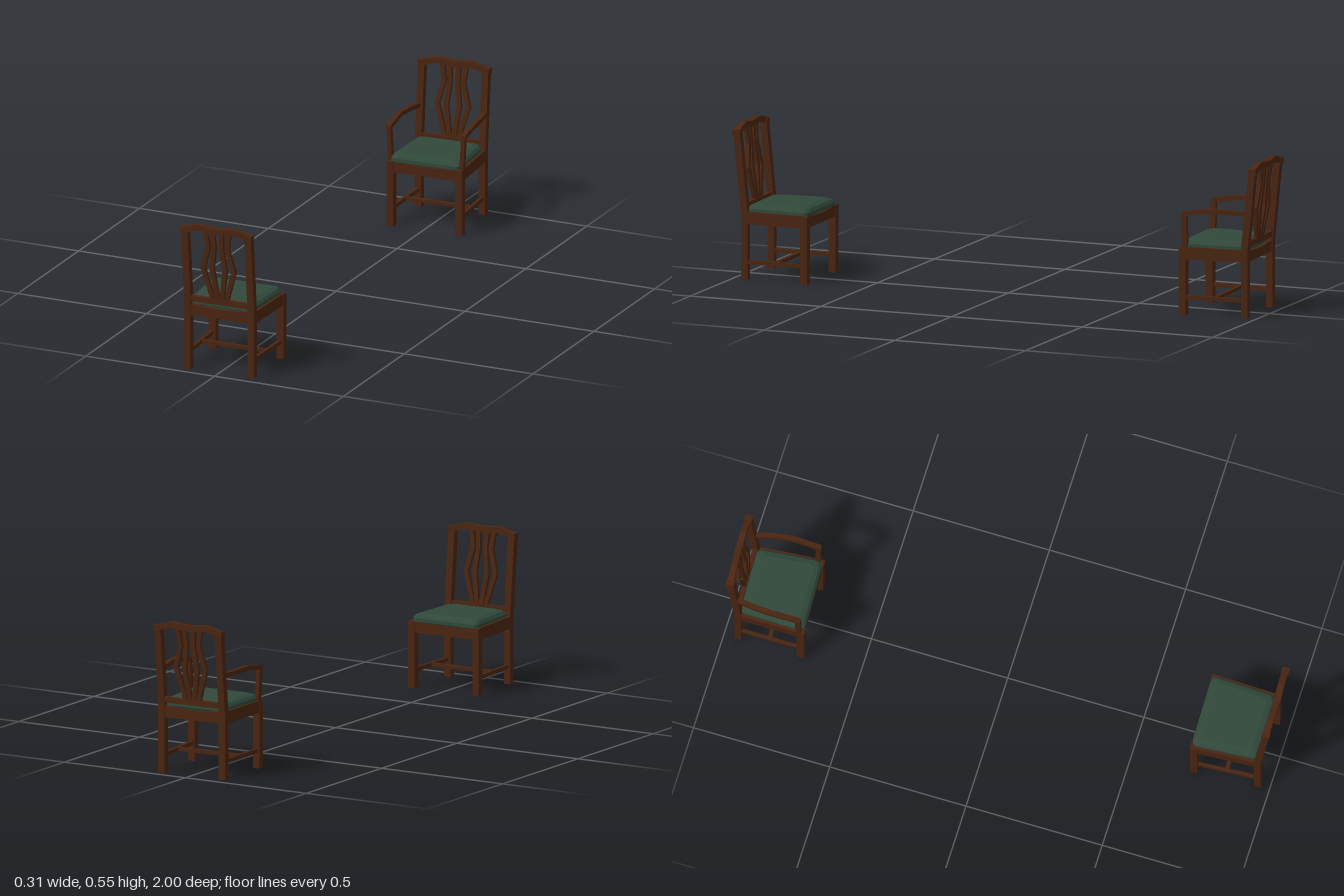
import * as THREE from 'three';

const wood = new THREE.MeshStandardMaterial({ color: 0x4a2511, flatShading: true });
wood.name = 'dark wood';
const fabric = new THREE.MeshStandardMaterial({ color: 0x30483a, flatShading: true });
fabric.name = 'green fabric';

const V = (x, y, z) => new THREE.Vector3(x, y, z);

// Joins equal-length closed loops of points into a capped solid
function loft(loops) {
  const pos = [];
  const tri = (...p) => p.forEach(q => pos.push(q.x, q.y, q.z));
  const n = loops[0].length;
  for (let i = 0; i < loops.length - 1; i++) {
    for (let j = 0; j < n; j++) {
      const k = (j + 1) % n, lo = loops[i], hi = loops[i + 1];
      tri(lo[j], lo[k], hi[k]);
      tri(lo[j], hi[k], hi[j]);
    }
  }
  const first = loops[0], last = loops[loops.length - 1];
  for (let j = 1; j < n - 1; j++) {
    tri(first[0], first[j + 1], first[j]);
    tri(last[0], last[j], last[j + 1]);
  }
  const g = new THREE.BufferGeometry();
  g.setAttribute('position', new THREE.Float32BufferAttribute(pos, 3));
  g.computeVertexNormals();
  return g;
}

function add(parent, name, geometry, material = wood) {
  const mesh = new THREE.Mesh(geometry, material);
  mesh.name = name;
  parent.add(mesh);
  return mesh;
}

// Rectangular bar along a path; a and b are the half-size vectors of its section
function bar(points, a, b) {
  const dir = points[points.length - 1].clone().sub(points[0]);
  const bb = b.clone();
  if (a.clone().cross(b).dot(dir) < 0) bb.negate();
  const corners = [[-1, -1], [1, -1], [1, 1], [-1, 1]];
  return loft(points.map(p => corners.map(([s, t]) =>
    p.clone().addScaledVector(a, s).addScaledVector(bb, t))));
}

// Depth of the back at a given height: upright to the seat, then leaning
const backZ = y => -0.099 - Math.max(0, y - 0.24) * 0.1;

// Seat rail with a dished upper edge
function dishedRail(halfWidth, z) {
  const s = new THREE.Shape();
  s.moveTo(-halfWidth, 0.2);
  s.lineTo(halfWidth, 0.2);
  s.lineTo(halfWidth, 0.241);
  s.lineTo(0.05, 0.236);
  s.lineTo(0, 0.234);
  s.lineTo(-0.05, 0.236);
  s.lineTo(-halfWidth, 0.241);
  return new THREE.ExtrudeGeometry(s, { depth: 0.014, bevelEnabled: false }).translate(0, 0, z);
}

// Rounded trapezoid outline of the cushion at one height
function cushionLoop(inset, y) {
  const r = 0.022, pts = [];
  const corners = [[1, 1], [1, -1], [-1, -1], [-1, 1]];
  corners.forEach(([sx, sz], c) => {
    const w = (sz > 0 ? 0.134 : 0.124) - inset;
    const d = sz > 0 ? 0.142 - inset : 0.096 - inset;
    for (let i = 0; i <= 3; i++) {
      const t = Math.PI / 2 - (c + i / 3) * Math.PI / 2;
      pts.push(V(sx * (w - r) + r * Math.cos(t), y, sz * (d - r) + r * Math.sin(t)));
    }
  });
  return pts;
}

function buildChair(withArms) {
  const chair = new THREE.Group();

  // Seat cushion
  const rings = [[0.014, 0.218], [0.012, 0.234], [0, 0.24], [0, 0.253], [0.008, 0.263], [0.025, 0.269]];
  add(chair, 'cushion', loft(rings.map(([i, y]) => cushionLoop(i, y))), fabric);

  // Front and back seat rails, and the low rail carrying the slats
  add(chair, 'frontSeatRail', dishedRail(0.122, 0.127));
  add(chair, 'backSeatRail', dishedRail(0.112, -0.108));
  add(chair, 'lowerBackRail', bar([V(-0.112, 0.263, -0.102), V(0.112, 0.263, -0.102)],
    V(0, 0.01, 0), V(0, 0, 0.008)));

  for (const s of [-1, 1]) {
    // Legs and posts
    add(chair, 'frontLeg', bar([V(s * 0.131, 0, 0.131), V(s * 0.131, 0.241, 0.131)],
      V(0.013, 0, 0), V(0, 0, 0.0135)));
    add(chair, 'backPost', bar([0, 0.24, 0.53].map(y => V(s * 0.122, y, backZ(y))),
      V(0.0125, 0, 0), V(0, 0, 0.0125)));

    // Side seat rail and stretcher
    add(chair, 'sideSeatRail', bar([V(s * 0.136, 0.2215, 0.125), V(s * 0.127, 0.2215, -0.1)],
      V(0.007, 0, 0), V(0, 0.0215, 0)));
    add(chair, 'sideStretcher', bar([V(s * 0.131, 0.063, 0.125), V(s * 0.122, 0.063, -0.095)],
      V(0.006, 0, 0), V(0, 0.007, 0)));

    // Slats of the back, each a bent bar
    const slats = [
      [[0.026, 0.27], [0.059, 0.385], [0.036, 0.47], [0.046, 0.53]],
      [[0.008, 0.27], [0.025, 0.385], [0.014, 0.47], [0.018, 0.53]],
    ];
    for (const path of slats) {
      add(chair, 'backSlat', bar(path.map(([x, y]) => V(s * x, y, backZ(y) - 0.001)),
        V(0.0085, 0, 0), V(0, 0, 0.006)));
    }

    // Square ends of the crest rail
    add(chair, 'crestEnd', new THREE.BoxGeometry(0.022, 0.022, 0.028)
      .translate(s * 0.125, 0.524, -0.128));

    if (withArms) {
      // Arm support and bowed arm
      add(chair, 'armSupport', bar([V(s * 0.135, 0.23, 0.122), V(s * 0.142, 0.362, 0.122)],
        V(0.0075, 0, 0), V(0, 0, 0.0095)));
      add(chair, 'armRest', bar([V(s * 0.142, 0.36, 0.131), V(s * 0.142, 0.366, 0.108),
        V(s * 0.144, 0.378, 0.03), V(s * 0.139, 0.377, -0.03), V(s * 0.125, 0.373, -0.108)],
      V(0.009, 0, 0), V(0, 0.008, 0)));
    }
  }

  // Cross stretcher between the side stretchers
  add(chair, 'crossStretcher', bar([V(-0.127, 0.063, 0.015), V(0.127, 0.063, 0.015)],
    V(0, 0.006, 0), V(0, 0, 0.007)));

  // Crest rail with two raised shoulders
  const crest = [[-0.134, 0.524], [-0.118, 0.527], [-0.068, 0.541], [0, 0.534],
    [0.068, 0.541], [0.118, 0.527], [0.134, 0.524]];
  add(chair, 'crestRail', bar(crest.map(([x, y]) => V(x, y, -0.132 + Math.abs(x) * 0.03)),
    V(0, 0.0105, 0), V(0, 0, 0.011)));

  return chair;
}

export function createModel() {
  const model = new THREE.Group();
  model.name = 'chairPair';

  // Armchair at the rear and side chair at the front, facing each other
  const armchair = buildChair(true);
  armchair.name = 'armchair';
  armchair.position.z = -0.855;
  armchair.rotation.y = 0.04;

  const sideChair = buildChair(false);
  sideChair.name = 'sideChair';
  sideChair.position.z = 0.855;
  sideChair.rotation.y = Math.PI + 0.018;

  model.add(armchair, sideChair);
  return model;
}
